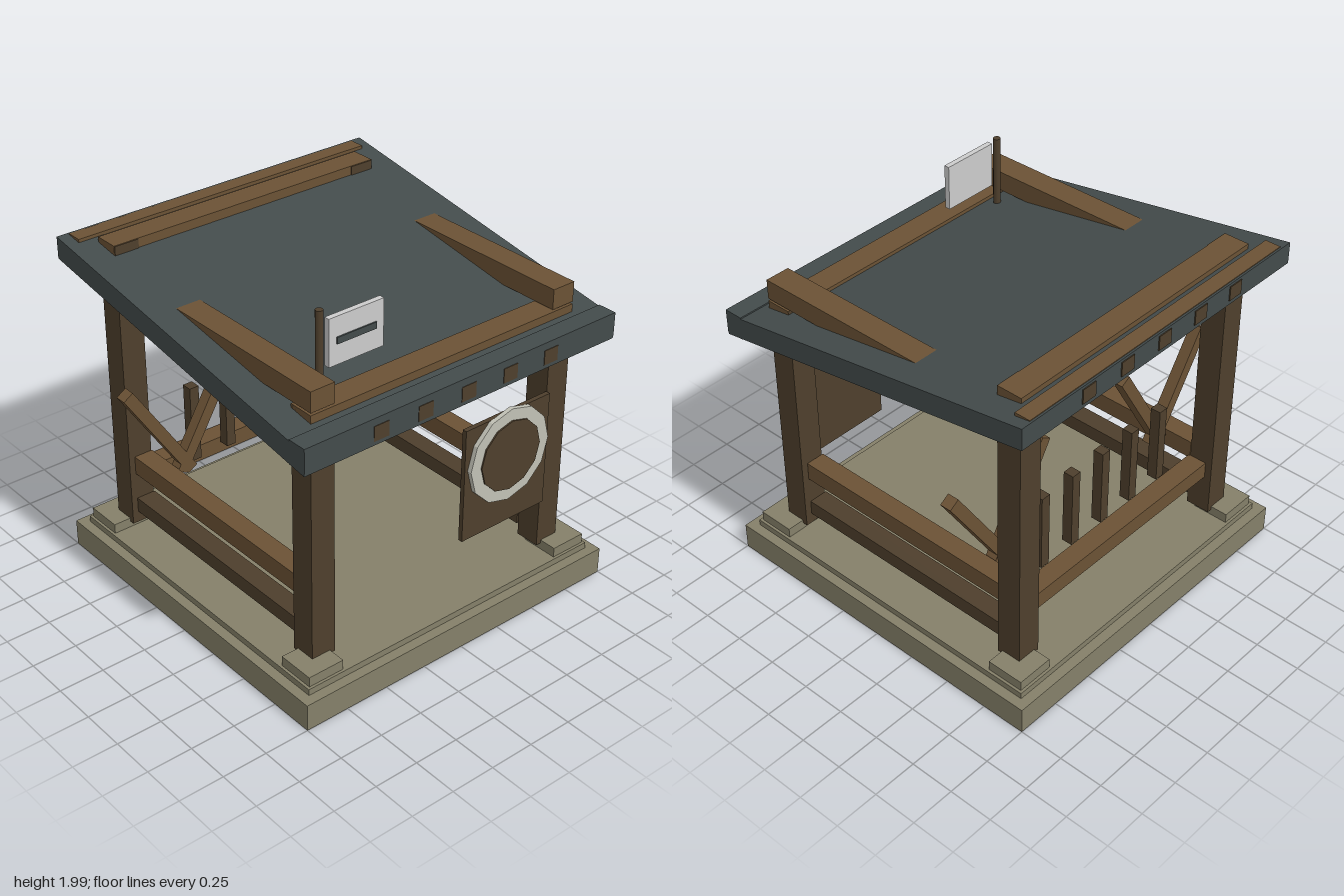
import * as THREE from 'three';

const paint = (name, color) => {
  const m = new THREE.MeshStandardMaterial({ color });
  m.name = name;
  return m;
};

export function createModel() {
  const model = new THREE.Group();
  model.name = 'pavilion';
  const stone = paint('stone', 0x858069);
  const wood = paint('wood', 0x6b5235);
  const darkWood = paint('dark wood', 0x4e3f2c);
  const slate = paint('slate', 0x434b4b);
  const cream = paint('cream', 0xc2c2b6);
  const signGrey = paint('sign grey', 0xcccccc);

  const add = (name, geometry, material) => {
    const mesh = new THREE.Mesh(geometry, material);
    mesh.name = name;
    model.add(mesh);
    return mesh;
  };
  // Box given by its limits on each axis
  const box = (name, material, x0, x1, y0, y1, z0, z1) => {
    const mesh = add(name, new THREE.BoxGeometry(x1 - x0, y1 - y0, z1 - z0), material);
    mesh.position.set((x0 + x1) / 2, (y0 + y1) / 2, (z0 + z1) / 2);
    return mesh;
  };
  // Box sheared along the roof pitch, with vertical ends
  const pitch = (z) => 1.645 - 0.164 * z;
  const pitched = (name, material, x, width, height, length, lift) => {
    const g = new THREE.BoxGeometry(width, height, length);
    const p = g.attributes.position;
    for (let i = 0; i < p.count; i++) p.setY(i, p.getY(i) + pitch(p.getZ(i)) + lift);
    g.computeVertexNormals();
    add(name, g, material).position.x = x;
  };

  // Stone base
  box('base', stone, -1, 1, 0, 0.15, -1, 1);
  box('baseStep', stone, -0.945, 0.945, 0.15, 0.185, -0.945, 0.945);

  // Footings, posts, side rails and side beams
  for (const s of [-1, 1]) {
    for (const t of [-1, 1]) {
      box('footing', stone, s * 0.825 - 0.105, s * 0.825 + 0.105, 0.185, 0.24, t * 0.825 - 0.105, t * 0.825 + 0.105);
      box('post', darkWood, s * 0.76 - 0.07, s * 0.76 + 0.07, 0.22, t > 0 ? 1.61 : 1.868, t * 0.76 - 0.07, t * 0.76 + 0.07);
    }
    const x = s * 0.74;
    box('upperSideRail', wood, x - 0.055, x + 0.055, 0.525, 0.63, -0.69, 0.685);
    box('lowerSideRail', darkWood, x - 0.055, x + 0.055, 0.285, 0.37, -0.69, 0.685);
    box('sideBeam', wood, s * 0.76 - 0.07, s * 0.76 + 0.07, 1.625, 1.735, -0.7, 0.832);
  }

  // Back rail with balusters
  box('backRail', wood, -0.69, 0.69, 0.445, 0.54, -0.79, -0.68);
  for (let i = -2; i <= 2; i++) {
    const x = i * 0.228;
    box('baluster', darkWood, x - 0.028, x + 0.028, 0.52, 0.965, -0.665, -0.605);
  }

  // Crossing braces at the back posts
  const brace = (x0, y0, x1, y1) => {
    const length = Math.hypot(x1 - x0, y1 - y0);
    const mesh = add('brace', new THREE.BoxGeometry(0.065, length, 0.065), wood);
    mesh.position.set((x0 + x1) / 2, (y0 + y1) / 2, -0.498);
    mesh.rotation.z = -Math.atan2(x1 - x0, y1 - y0);
  };
  for (const s of [-1, 1]) {
    brace(s * 0.648, 0.587, s * 0.303, 1.167);
    brace(s * 0.582, 0.583, s * 0.952, 1.155);
  }

  // Sloping roof with front fascia and rafter ends
  pitched('roof', slate, 0, 1.97, 0.12, 1.95, 0);
  box('fascia', slate, -0.985, 0.985, 1.44, 1.57, 0.87, 0.978);
  for (let i = -2; i <= 2; i++) pitched('rafter', darkWood, i * 0.27, 0.09, 0.08, 1.962, 0.005);

  // Cross beams and the plank along the high edge
  box('frontBeam', wood, -0.83, 0.83, 1.47, 1.612, 0.69, 0.832);
  box('backBeam', wood, -0.832, 0.832, 1.73, 1.87, -0.835, -0.695);
  box('edgePlank', wood, -0.92, 0.92, 1.8, 1.867, -0.962, -0.875);

  // Front panel with its round drum
  box('frontPanel', darkWood, 0.115, 0.685, 0.515, 1.165, 0.83, 0.856);
  const disc = (name, material, r, z0, z1) => {
    const g = new THREE.CylinderGeometry(r, r, z1 - z0, 12).toNonIndexed();
    g.computeVertexNormals();
    g.rotateX(Math.PI / 2);
    add(name, g, material).position.set(0.4, 0.93, (z0 + z1) / 2);
  };
  disc('drumRing', cream, 0.266, 0.856, 0.881);
  disc('drumFace', darkWood, 0.2, 0.881, 0.889);

  // Sign on a pole
  const pole = add('signPole', new THREE.CylinderGeometry(0.02, 0.02, 0.53, 10), darkWood);
  pole.position.set(-0.615, 1.725, 0.63);
  box('signBoard', signGrey, -0.6, -0.273, 1.705, 1.955, 0.65, 0.68);
  box('signSlot', slate, -0.555, -0.32, 1.815, 1.85, 0.68, 0.688);

  return model;
}
